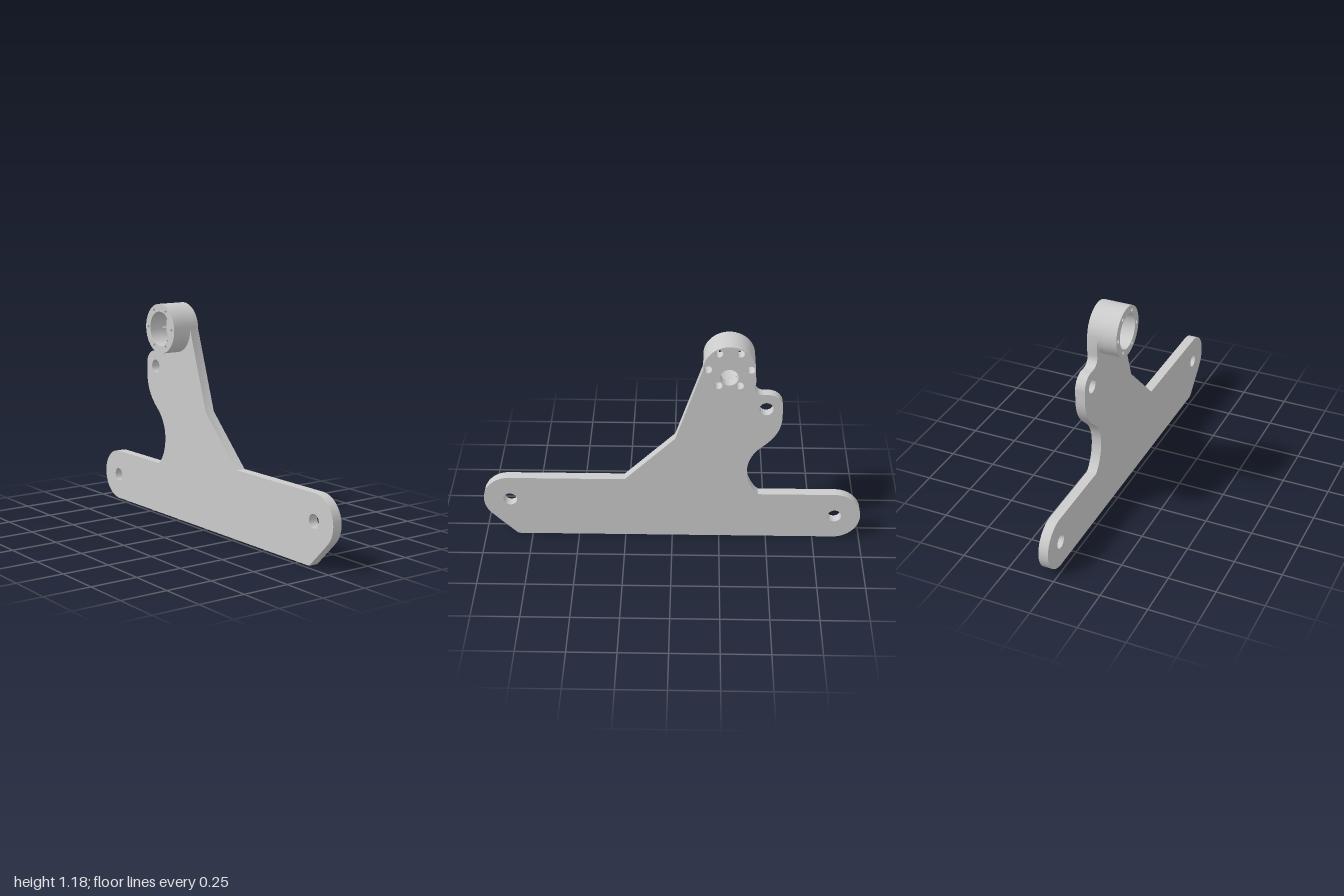
import * as THREE from 'three';
import { toCreasedNormals } from 'three/addons/utils/BufferGeometryUtils.js';

const BACK = -0.077, PLATE_FRONT = -0.025, BORE_END = 0.0, FRONT = 0.077;
const CX = -0.285, CY = 1.045, R = 0.131;        // boss centre and radius
const RECESS = 0.0905, BOLT_CIRCLE = 0.107, BORE = 0.02, PILOT = 0.009;
const boltAngles = Array.from({ length: 6 }, (_, i) => i * Math.PI / 3);

const circle = (x, y, r) => new THREE.Path().absarc(x, y, r, 0, Math.PI * 2, false);
const bolt = (a, r) => circle(CX + BOLT_CIRCLE * Math.cos(a), CY + BOLT_CIRCLE * Math.sin(a), r);

function part(name, shape, z0, z1, material) {
  const g = new THREE.ExtrudeGeometry(shape, { depth: z1 - z0, bevelEnabled: false, curveSegments: 24 });
  g.translate(0, 0, z0);
  const mesh = new THREE.Mesh(toCreasedNormals(g, 0.5), material);
  mesh.name = name;
  return mesh;
}

// Outline of the flat plate, counter-clockwise from the lower left
function plateShape() {
  const s = new THREE.Shape();
  s.moveTo(-0.861, 0);
  s.lineTo(0.83, 0);
  s.absarc(0.862, 0.228, 0.138, -Math.PI / 4, Math.PI / 2, false);   // right end
  s.lineTo(0.25, 0.366);
  s.lineTo(-0.015, 0.627);
  s.absarc(CX, CY, R, 0, Math.PI, false);                            // round the boss
  s.lineTo(-0.42, 0.975);
  s.lineTo(-0.415, 0.944);
  s.absarc(-0.46, 0.944, 0.045, 0, -Math.PI / 2, true);              // fillet
  s.absarc(-0.487, 0.826, 0.073, Math.PI / 2, Math.PI, false);       // ear
  s.lineTo(-0.56, 0.77);
  s.bezierCurveTo(-0.56, 0.68, -0.52, 0.63, -0.455, 0.575);
  s.bezierCurveTo(-0.41, 0.535, -0.389, 0.48, -0.389, 0.43);
  s.bezierCurveTo(-0.389, 0.37, -0.41, 0.315, -0.452, 0.278);
  s.absarc(-0.861, 0.139, 0.139, Math.PI / 2, Math.PI * 1.5, false); // left end
  s.holes.push(
    circle(-0.863, 0.139, 0.036), circle(0.86, 0.228, 0.036), circle(-0.477, 0.815, 0.036),
    circle(CX, 1.0, 0.046), ...boltAngles.map(a => bolt(a, BORE)));
  return s;
}

// Recess outline where the bolt bores break into its wall
function scallopedRecess() {
  const p = new THREE.Path();
  const x = (BOLT_CIRCLE ** 2 + RECESS ** 2 - BORE ** 2) / (2 * BOLT_CIRCLE);
  const y = Math.sqrt(RECESS ** 2 - x * x);
  const half = Math.atan2(y, x), sweep = Math.atan2(y, x - BOLT_CIRCLE);
  for (const a of boltAngles) {
    p.absarc(CX + BOLT_CIRCLE * Math.cos(a), CY + BOLT_CIRCLE * Math.sin(a), BORE, a - sweep, a + sweep, false);
    p.absarc(CX, CY, RECESS, a + half, a + Math.PI / 3 - half, false);
  }
  return p;
}

function bossShape(holes) {
  const s = new THREE.Shape().absarc(CX, CY, R, 0, Math.PI * 2, false);
  s.holes.push(...holes);
  return s;
}

export function createModel() {
  const group = new THREE.Group();
  group.name = 'bracket';
  const grey = new THREE.MeshStandardMaterial({ color: 0xcccccc });
  group.add(
    part('plate', plateShape(), BACK, PLATE_FRONT, grey),
    part('bossBase', bossShape([scallopedRecess()]), PLATE_FRONT, BORE_END, grey),
    part('bossRim', bossShape([circle(CX, CY, RECESS), ...boltAngles.map(a => bolt(a, PILOT))]), BORE_END, FRONT, grey));
  return group;
}
